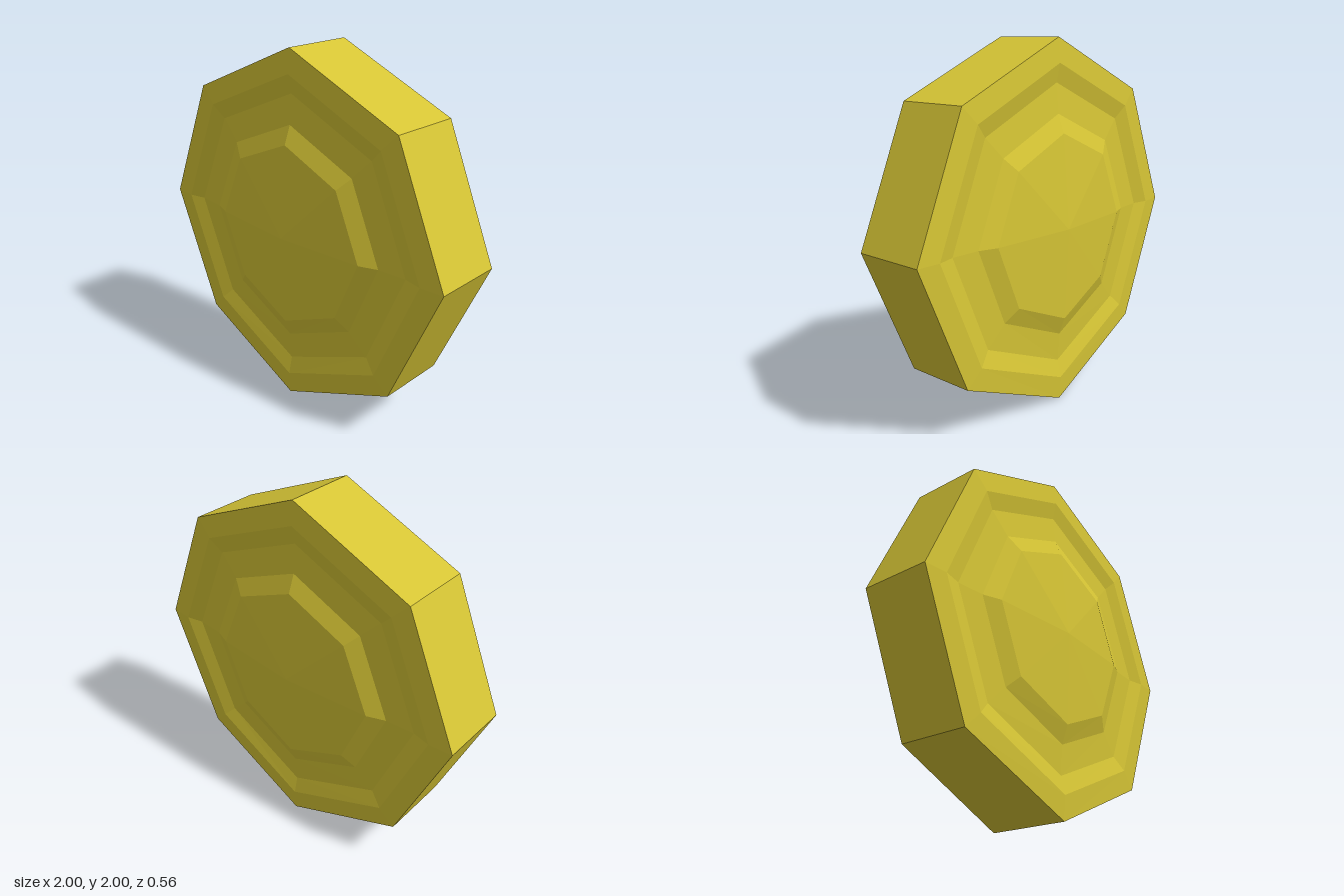
import * as THREE from 'three';

const SIDES = 8;
const GROOVE = 0.03;
// Rings from rim to dome: [radius, sunk below the shallow cone]
const RINGS = [[1, 0], [0.87, 0], [0.77, GROOVE], [0.61, GROOVE], [0.51, 0]];

// Point on a ring; spoke 0 points right, spoke 6 points straight down
function ringPoint([r, sunk], spoke, side) {
  const a = (spoke / SIDES) * Math.PI * 2;
  const k = spoke % 2 ? r * 0.99 : r;
  const bulge = spoke % SIDES === 6 ? 0.012 + 0.013 * r : 0; // thicker lowest corner
  const z = 0.2 + 0.08 * (1 - r) - sunk + bulge;
  return [Math.cos(a) * k, Math.sin(a) * k, z * side];
}

function geometryFrom(triangles) {
  const geometry = new THREE.BufferGeometry();
  geometry.setAttribute('position', new THREE.Float32BufferAttribute(triangles.flat(2), 3));
  geometry.computeVertexNormals();
  return geometry;
}

// Quad a-b-c-d, counter-clockwise, as two triangles
const quad = (a, b, c, d) => [[a, b, c], [a, c, d]];

// Grooved, shallowly domed face
function faceGeometry(side) {
  const triangles = [];
  for (let s = 0; s < SIDES; s++) {
    for (let i = 0; i < RINGS.length - 1; i++) {
      triangles.push(...quad(
        ringPoint(RINGS[i], s, side), ringPoint(RINGS[i], s + 1, side),
        ringPoint(RINGS[i + 1], s + 1, side), ringPoint(RINGS[i + 1], s, side)));
    }
    const inner = RINGS[RINGS.length - 1];
    triangles.push([ringPoint(inner, s, side), ringPoint(inner, s + 1, side), [0, 0, 0.28 * side]]);
  }
  if (side < 0) triangles.forEach((t) => t.reverse());
  return geometryFrom(triangles);
}

// Flat panels around the edge
function edgeGeometry() {
  const triangles = [];
  for (let s = 0; s < SIDES; s++) {
    triangles.push(...quad(
      ringPoint(RINGS[0], s, -1), ringPoint(RINGS[0], s + 1, -1),
      ringPoint(RINGS[0], s + 1, 1), ringPoint(RINGS[0], s, 1)));
  }
  return geometryFrom(triangles);
}

export function createModel() {
  const coin = new THREE.Group();
  coin.name = 'coin';
  const gold = new THREE.MeshStandardMaterial({ color: 0xd6c535, flatShading: true });
  const add = (name, geometry) => {
    const mesh = new THREE.Mesh(geometry, gold);
    mesh.name = name;
    mesh.position.y = 1;
    coin.add(mesh);
  };
  add('frontFace', faceGeometry(1));
  add('backFace', faceGeometry(-1));
  add('edge', edgeGeometry());
  return coin;
}
